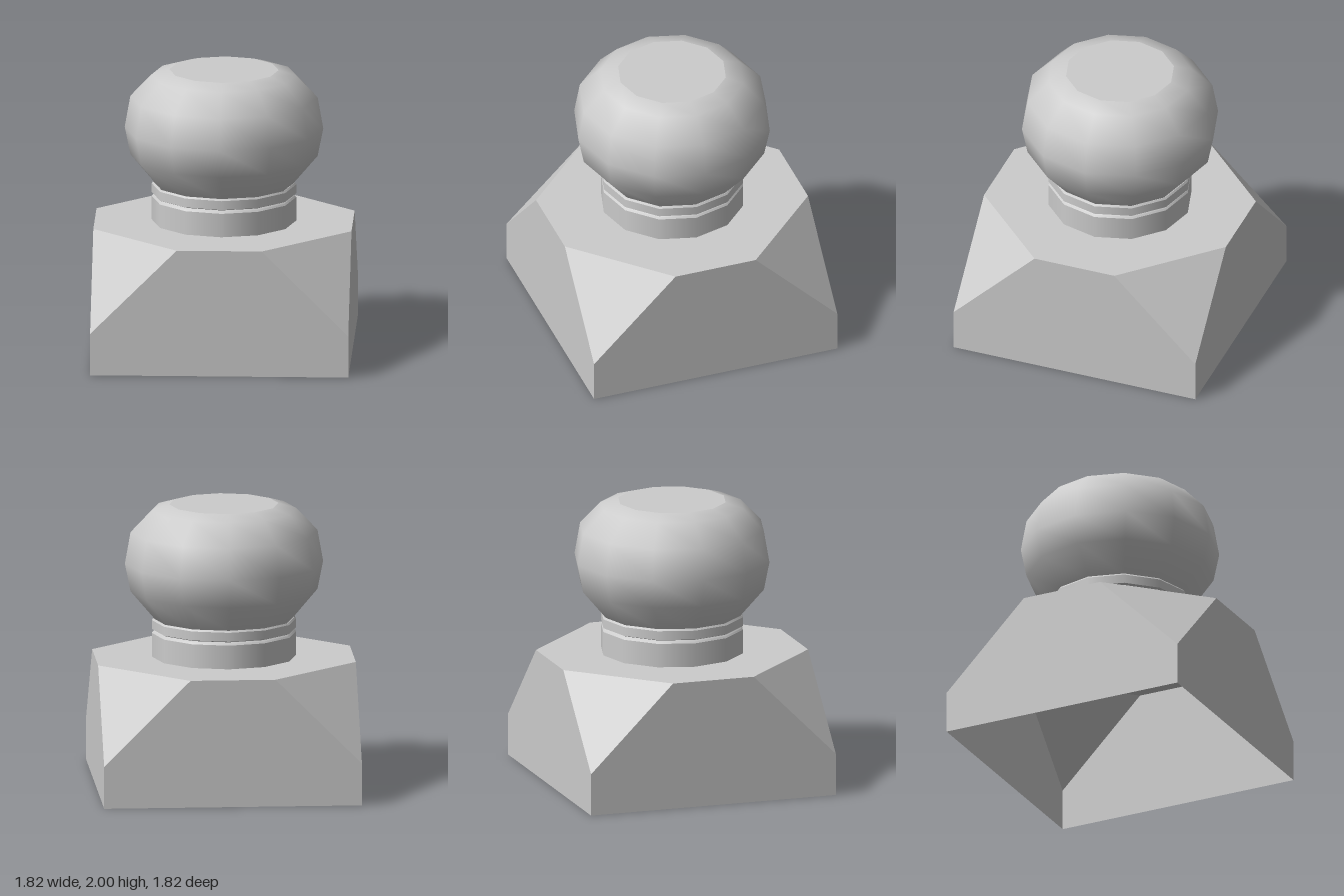
import * as THREE from 'three';

const HALF = 0.91;  // half width and height of the base
const CUT = 0.3;    // where the corner cuts start
const SIDES = 12;

export function createModel() {
  const group = new THREE.Group();
  const smooth = new THREE.MeshStandardMaterial({ color: 0xcccccc, side: THREE.DoubleSide });
  const faceted = new THREE.MeshStandardMaterial({ color: 0xcccccc, side: THREE.DoubleSide, flatShading: true });

  const add = (name, geometry, material, parent = group) => {
    const mesh = new THREE.Mesh(geometry, material);
    mesh.name = name;
    parent.add(mesh);
    return mesh;
  };
  const polygon = (pts) => new THREE.ShapeGeometry(new THREE.Shape(pts.map(([x, y]) => new THREE.Vector2(x, y))));
  const lathe = (pts) => new THREE.LatheGeometry(pts.map(([r, y]) => new THREE.Vector2(r, y)), SIDES);

  // Hollow base, open underneath: four walls and four cut corners
  const base = new THREE.Group();
  base.name = 'base';
  group.add(base);
  const wall = polygon([[-HALF, 0], [HALF, 0], [HALF, CUT], [CUT, HALF], [-CUT, HALF], [-HALF, CUT]])
    .translate(0, 0, HALF);
  const corner = new THREE.BufferGeometry();
  corner.setAttribute('position', new THREE.Float32BufferAttribute(
    [HALF, CUT, HALF, HALF, HALF, CUT, CUT, HALF, HALF], 3));
  corner.computeVertexNormals();
  for (let i = 0; i < 4; i++) {
    add('baseWall', wall, faceted, base).rotation.y = i * Math.PI / 2;
    add('baseCorner', corner, faceted, base).rotation.y = i * Math.PI / 2;
  }

  // Octagonal top of the base
  const top = polygon([
    [CUT, -HALF], [HALF, -CUT], [HALF, CUT], [CUT, HALF],
    [-CUT, HALF], [-HALF, CUT], [-HALF, -CUT], [-CUT, -HALF],
  ]).rotateX(-Math.PI / 2).translate(0, HALF, 0);
  add('baseTop', top, faceted, base);

  // Neck with a narrow groove and a collar; each band keeps sharp edges
  const neck = new THREE.Group();
  neck.name = 'neck';
  group.add(neck);
  const profile = [
    [0.51, 0.91], [0.51, 1.08], [0.5, 1.092], [0.49, 1.1],
    [0.51, 1.108], [0.51, 1.172], [0.5, 1.185],
  ];
  for (let i = 0; i < profile.length - 1; i++) {
    add('neckBand', lathe([profile[i], profile[i + 1]]), smooth, neck);
  }

  // Rounded knob with a flat crown
  add('knob', lathe([
    [0.49, 1.18], [0.66, 1.38], [0.7, 1.58], [0.66, 1.805], [0.51, 1.962], [0.385, 2],
  ]), smooth);
  add('knobCrown', new THREE.CircleGeometry(0.385, SIDES).rotateX(-Math.PI / 2).translate(0, 2, 0), smooth);

  return group;
}
